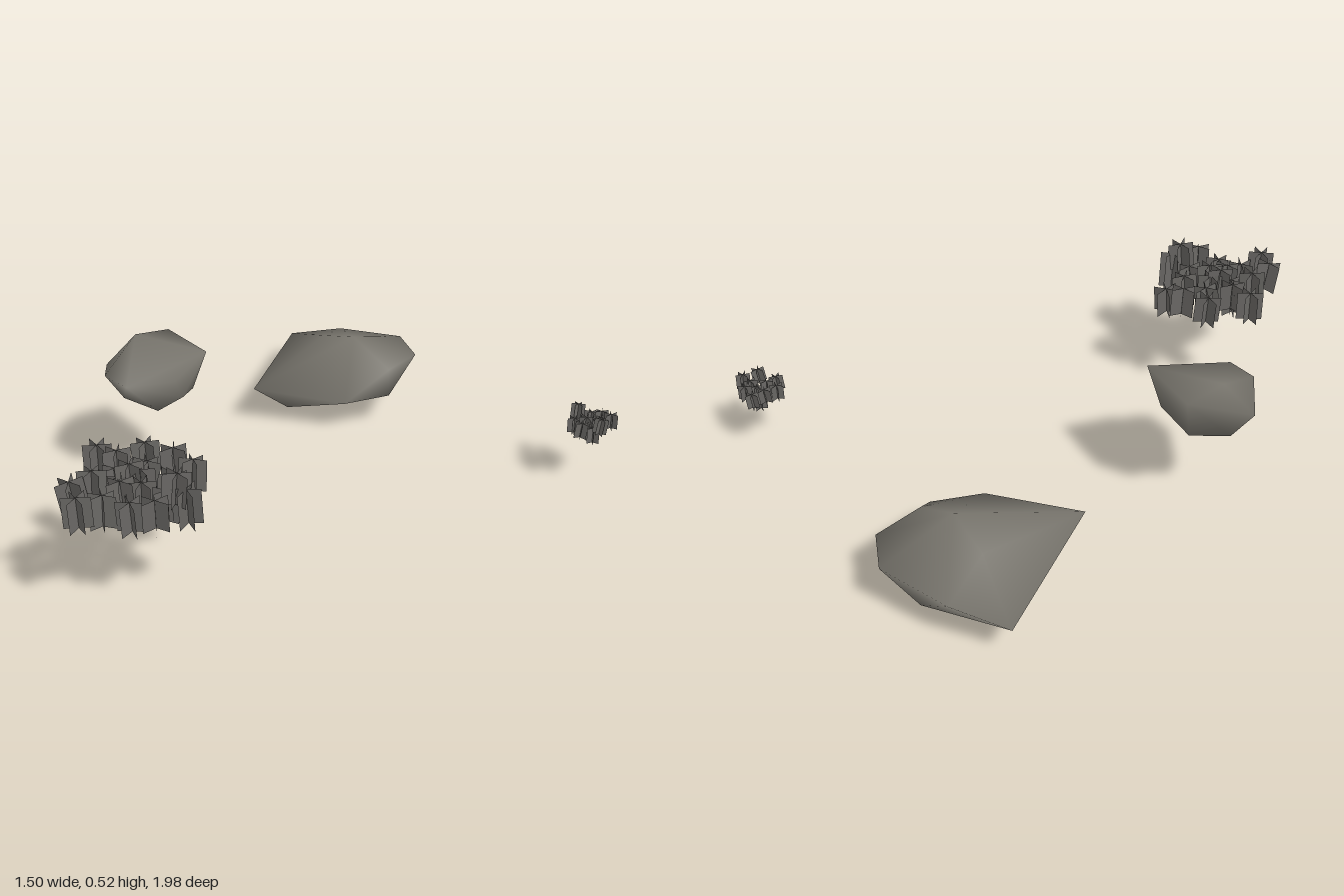
import * as THREE from 'three';
import { ConvexGeometry } from 'three/addons/geometries/ConvexGeometry.js';
import { mergeVertices, mergeGeometries } from 'three/addons/utils/BufferGeometryUtils.js';

const stone = new THREE.MeshStandardMaterial({ color: 0x78756d });
stone.name = 'warm grey stone';
const leaf = new THREE.MeshStandardMaterial({ color: 0x696764, side: THREE.DoubleSide });
leaf.name = 'grey foliage';

// Smooth-shaded boulder: the hull of a few corner points
function boulder(name, corners) {
  let geo = new ConvexGeometry(corners.map((c) => new THREE.Vector3(...c)));
  geo.deleteAttribute('normal');
  geo = mergeVertices(geo, 1e-4);
  geo.computeVertexNormals();
  const mesh = new THREE.Mesh(geo, stone);
  mesh.name = name;
  return mesh;
}

// Clump of plants, each made of three upright cards crossing on one axis
// plant: [x, z, middle y, height (optional)]
function clump(name, plants, width, height) {
  const cards = [];
  plants.forEach(([x, z, y, h = height], i) => {
    const tilt = new THREE.Matrix4().makeRotationFromEuler(
      new THREE.Euler(0.09 * Math.sin(i * 2.3), i * 1.37, 0.09 * Math.cos(i * 1.7)));
    for (let k = 0; k < 3; k++) {
      const card = new THREE.PlaneGeometry(width, h);
      card.rotateY(k * Math.PI / 3);
      card.applyMatrix4(tilt);
      card.translate(x, y, z);
      cards.push(card);
    }
  });
  const mesh = new THREE.Mesh(mergeGeometries(cards), leaf);
  mesh.name = name;
  return mesh;
}

export function createModel() {
  const group = new THREE.Group();
  group.name = 'rocksAndPlants';

  group.add(boulder('largeRock', [
    // rim
    [-0.75, 0.13, -0.73], [-0.59, 0.17, -0.86], [-0.345, 0.19, -0.965], [-0.195, 0.185, -0.9],
    [-0.095, 0.13, -0.65], [-0.16, 0.13, -0.475], [-0.45, 0.155, -0.26],
    // crown
    [-0.34, 0.28, -0.69], [-0.5, 0.23, -0.68], [-0.165, 0.192, -0.72],
    // underside
    [-0.6, 0.02, -0.68], [-0.52, 0.003, -0.62], [-0.34, 0, -0.63], [-0.42, 0.03, -0.41],
    [-0.42, 0.04, -0.87], [-0.3, 0.045, -0.84],
  ]));

  group.add(boulder('smallRock', [
    // top
    [-0.53, 0.525, 0.23], [-0.285, 0.505, 0.1], [-0.525, 0.5, 0.085],
    // sides
    [-0.277, 0.44, 0.25], [-0.287, 0.36, 0.21], [-0.355, 0.44, 0.405],
    [-0.47, 0.445, 0.413], [-0.6, 0.405, 0.315],
    // underside
    [-0.345, 0.305, 0.28], [-0.56, 0.32, 0.25], [-0.5, 0.34, 0.12],
    [-0.33, 0.35, 0.13], [-0.45, 0.34, 0.35],
  ]));

  group.add(clump('largePlantClump', [
    [0, 0.585, 0.395], [0.09, 0.54, 0.4], [0.16, 0.52, 0.375], [-0.08, 0.72, 0.405],
    [0, 0.7, 0.41], [0.07, 0.64, 0.38], [0.115, 0.69, 0.39], [0.18, 0.62, 0.38],
    [0.24, 0.69, 0.37], [0.305, 0.655, 0.385, 0.14], [0.285, 0.68, 0.45], [0.295, 0.77, 0.4],
    [0.22, 0.81, 0.37], [0.175, 0.735, 0.39], [0.135, 0.78, 0.38, 0.14], [0.075, 0.75, 0.37],
    [0.035, 0.825, 0.4], [0.045, 0.905, 0.405], [0.14, 0.86, 0.375], [0.13, 0.945, 0.4],
    [0.1, 0.72, 0.4, 0.14], [0.03, 0.73, 0.37],
  ], 0.095, 0.11));

  group.add(clump('smallPlantClump', [
    [0.675, -0.965, 0.24], [0.725, -0.95, 0.255], [0.6, -0.92, 0.255], [0.65, -0.925, 0.2],
    [0.69, -0.9, 0.2], [0.725, -0.89, 0.255], [0.63, -0.865, 0.23], [0.675, -0.845, 0.235],
    [0.635, -0.955, 0.225], [0.66, -0.89, 0.24], [0.7, -0.93, 0.235], [0.675, -0.925, 0.22],
  ], 0.05, 0.058));

  return group;
}
